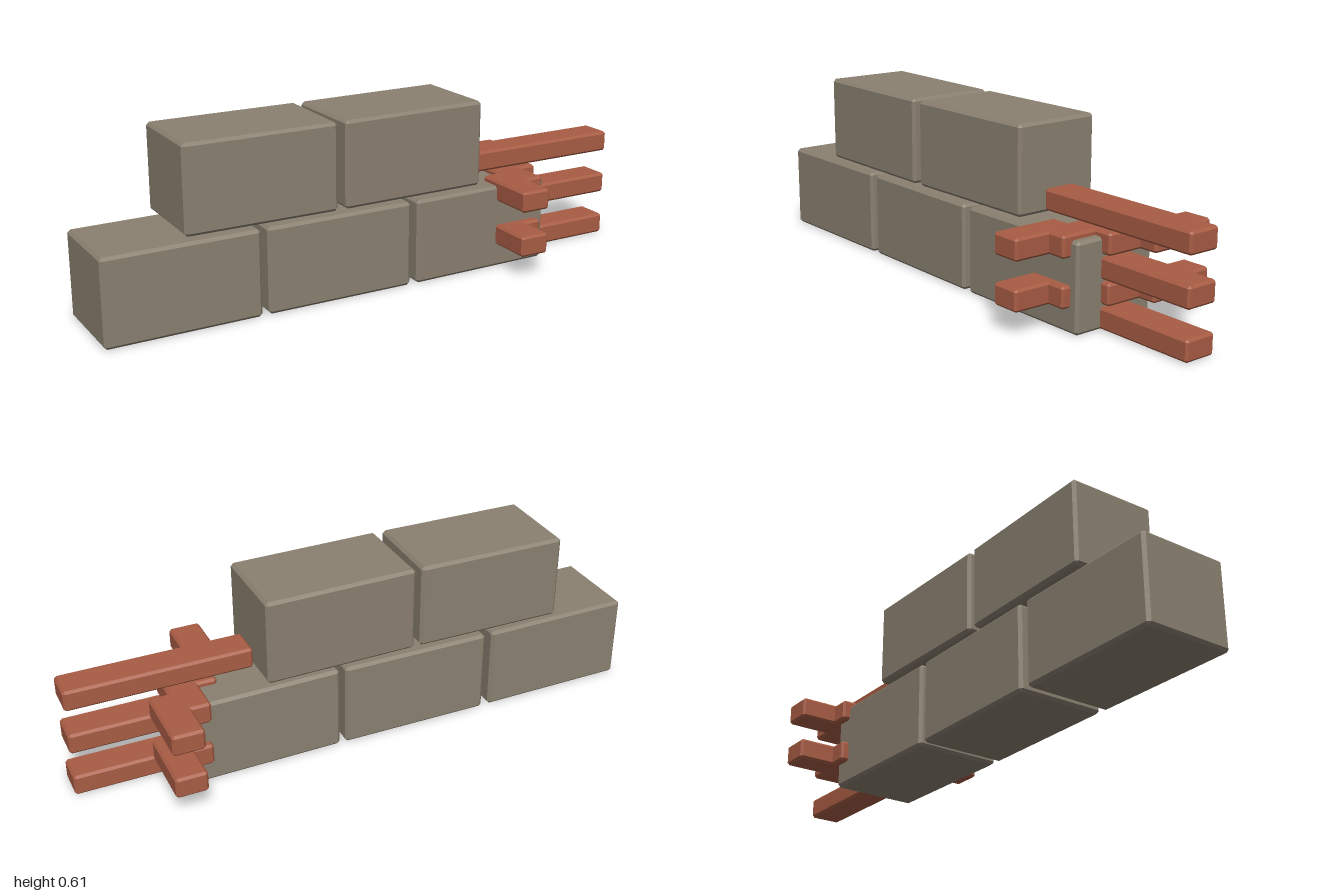
import * as THREE from 'three';
import { ConvexGeometry } from 'three/addons/geometries/ConvexGeometry.js';

// Box with flat bevels on every edge
function bevelledBox(w, h, d, bevel) {
  const points = [];
  const half = [w / 2, h / 2, d / 2];
  for (const sx of [-1, 1]) for (const sy of [-1, 1]) for (const sz of [-1, 1]) {
    for (let face = 0; face < 3; face++) {
      const c = half.map((v, i) => (i === face ? v : v - bevel));
      points.push(new THREE.Vector3(sx * c[0], sy * c[1], sz * c[2]));
    }
  }
  return new ConvexGeometry(points);
}

export function createModel() {
  const model = new THREE.Group();
  model.name = 'brokenWall';
  const stone = new THREE.MeshStandardMaterial({ name: 'stone', color: 0x8a8070 });
  const brick = new THREE.MeshStandardMaterial({ name: 'brick', color: 0xa85c44 });

  function add(name, geometry, material, x, y, z, yaw = 0) {
    const mesh = new THREE.Mesh(geometry, material);
    mesh.name = name;
    mesh.position.set(x, y, z);
    mesh.rotation.y = yaw;
    model.add(mesh);
  }

  // Stone blocks: three below, two above, each turned very slightly
  const block = bevelledBox(0.53, 0.297, 0.314, 0.01);
  [[-0.735, 0.002], [-0.18, -0.008], [0.373, 0.01]].forEach(([x, yaw], i) =>
    add(`lowerBlock${i + 1}`, block, stone, x, 0.1485, 0, yaw));
  [[-0.457, -0.012], [0.098, 0.012]].forEach(([x, yaw], i) =>
    add(`upperBlock${i + 1}`, block, stone, x, 0.461, 0, yaw));

  // Long bricks reaching out of the wall end
  const longBrick = bevelledBox(0.627, 0.072, 0.115, 0.008);
  [0.038, 0.199, 0.36].forEach((y, i) =>
    add(`longBrick${i + 1}`, longBrick, brick, 0.686, y, 0));

  // Two courses of cross bricks, stepping diagonally through the wall
  const crossBrick = bevelledBox(0.108, 0.073, 0.242, 0.008);
  [0.119, 0.279].forEach((y, course) => {
    for (let i = 0; i < 4; i++) {
      const t = i - 1.5;
      add(`crossBrick${course + 1}_${i + 1}`, crossBrick, brick, 0.587 + t * 0.065, y, -t * 0.129);
    }
  });

  return model;
}
